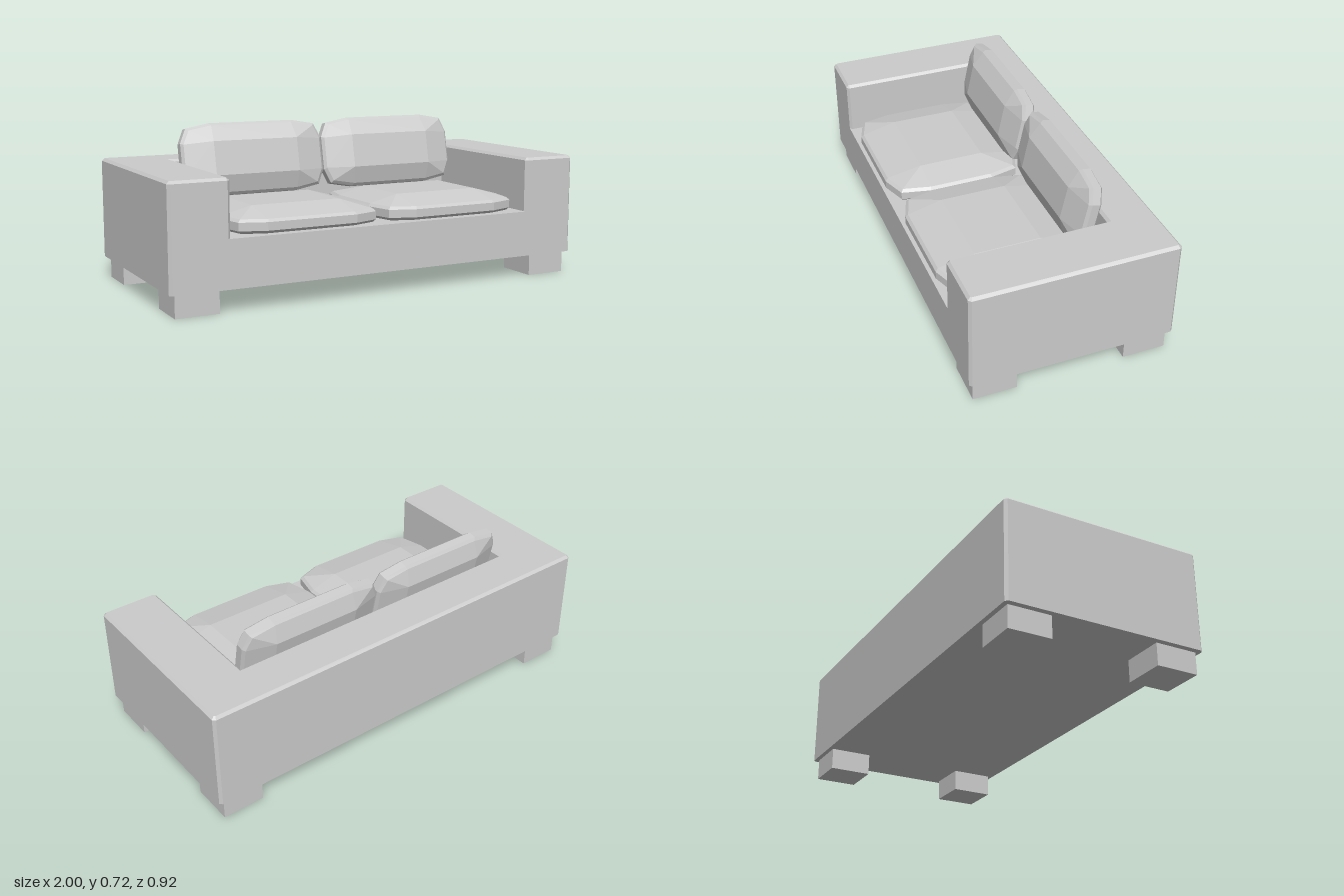
import * as THREE from 'three';

const material = new THREE.MeshStandardMaterial({ color: 0xcccccc, flatShading: true });
const BEVEL = 0.012;

function addMesh(parent, name, geometry, x = 0, y = 0, z = 0) {
  const mesh = new THREE.Mesh(geometry, material);
  mesh.name = name;
  mesh.position.set(x, y, z);
  parent.add(mesh);
  return mesh;
}

// Counter-clockwise polygon with its convex corners cut off
function chamferedShape(corners) {
  const pts = corners.map(([x, y]) => new THREE.Vector2(x, y));
  const out = [];
  pts.forEach((p, i) => {
    const toPrev = pts.at(i - 1).clone().sub(p).normalize();
    const toNext = pts[(i + 1) % pts.length].clone().sub(p).normalize();
    if (toNext.cross(toPrev) > 0) {
      out.push(p.clone().addScaledVector(toPrev, BEVEL), p.clone().addScaledVector(toNext, BEVEL));
    } else out.push(p);
  });
  return new THREE.Shape(out);
}

// Extrudes a plan outline upwards from y0 to y1
function slab(corners, y0, y1, bevelled) {
  const b = bevelled ? BEVEL : 0;
  const geometry = new THREE.ExtrudeGeometry(chamferedShape(corners), {
    depth: y1 - y0 - 2 * b, bevelEnabled: bevelled,
    bevelThickness: b, bevelSize: b, bevelOffset: -b, bevelSegments: 1,
  });
  return geometry.rotateX(-Math.PI / 2).translate(0, y0 + b, 0);
}

// Faceted cushion: twelve-sided rim with a raised flat panel on both faces
function cushionGeometry(halfWidth, halfDepth) {
  const quarter = [[1, 0.47], [0.915, 0.875], [0.59, 1]];
  const mirrored = (sx, sz, flip) =>
    (flip ? [...quarter].reverse() : quarter).map(([x, z]) => [x * sx, z * sz]);
  const rim = [
    ...mirrored(1, 1, false), ...mirrored(-1, 1, true),
    ...mirrored(-1, -1, false), ...mirrored(1, -1, true),
  ];
  const panel = rim.map(([x, z]) => [Math.sign(x) * 0.59, Math.sign(z) * 0.47]);
  const inset = 0.012;
  const layers = [
    [panel, 0.065, 0], [rim, 0.03, inset], [rim, 0.018, 0],
    [rim, -0.018, 0], [rim, -0.03, inset], [panel, -0.065, 0],
  ];
  const rings = layers.map(([outline, y, cut]) => outline.map(([x, z]) =>
    new THREE.Vector3(x * (halfWidth - cut), y, z * (halfDepth - cut))));
  const verts = [];
  const tri = (a, b, c) => {
    if (a.equals(b) || b.equals(c) || a.equals(c)) return;
    for (const v of [a, b, c]) verts.push(v.x, v.y, v.z);
  };
  for (let i = 0; i < rings.length - 1; i++) {
    for (let j = 0; j < 12; j++) {
      const k = (j + 1) % 12;
      const [a, b, c, d] = [rings[i][j], rings[i][k], rings[i + 1][j], rings[i + 1][k]];
      tri(a, b, c);
      tri(b, d, c);
    }
  }
  const top = rings[0], bottom = rings[5];
  tri(top[0], top[6], top[3]);
  tri(top[0], top[9], top[6]);
  tri(bottom[0], bottom[3], bottom[6]);
  tri(bottom[0], bottom[6], bottom[9]);
  const geometry = new THREE.BufferGeometry();
  geometry.setAttribute('position', new THREE.Float32BufferAttribute(verts, 3));
  geometry.computeVertexNormals();
  return geometry;
}

export function createModel() {
  const sofa = new THREE.Group();
  sofa.name = 'sofa';
  const W = 1, D = 0.462, armInner = 0.735, backInner = 0.252;

  // Seat base and the U of arms and backrest
  addMesh(sofa, 'seatBase', slab([[-W, -D], [W, -D], [W, D], [-W, D]], 0.1, 0.31, false));
  addMesh(sofa, 'armsAndBackrest', slab([
    [-W, -D], [-armInner, -D], [-armInner, backInner], [armInner, backInner],
    [armInner, -D], [W, -D], [W, D], [-W, D],
  ], 0.28, 0.56, true));

  const seat = cushionGeometry(0.354, 0.325);
  const back = cushionGeometry(0.354, 0.167);
  const foot = new THREE.BoxGeometry(0.193, 0.11, 0.195);

  for (const [side, s] of [['left', 1], ['right', -1]]) {
    addMesh(sofa, side + 'SeatCushion', seat, s * 0.357, 0.345, 0.125);
    // Back cushion leans against the backrest
    const cushion = addMesh(sofa, side + 'BackCushion', back, s * 0.357, 0.555, -0.193);
    cushion.rotation.x = THREE.MathUtils.degToRad(78);
    for (const [end, e] of [['Front', 1], ['Back', -1]]) {
      addMesh(sofa, side + end + 'Foot', foot, s * 0.877, 0.055, e * 0.343);
    }
  }
  return sofa;
}
